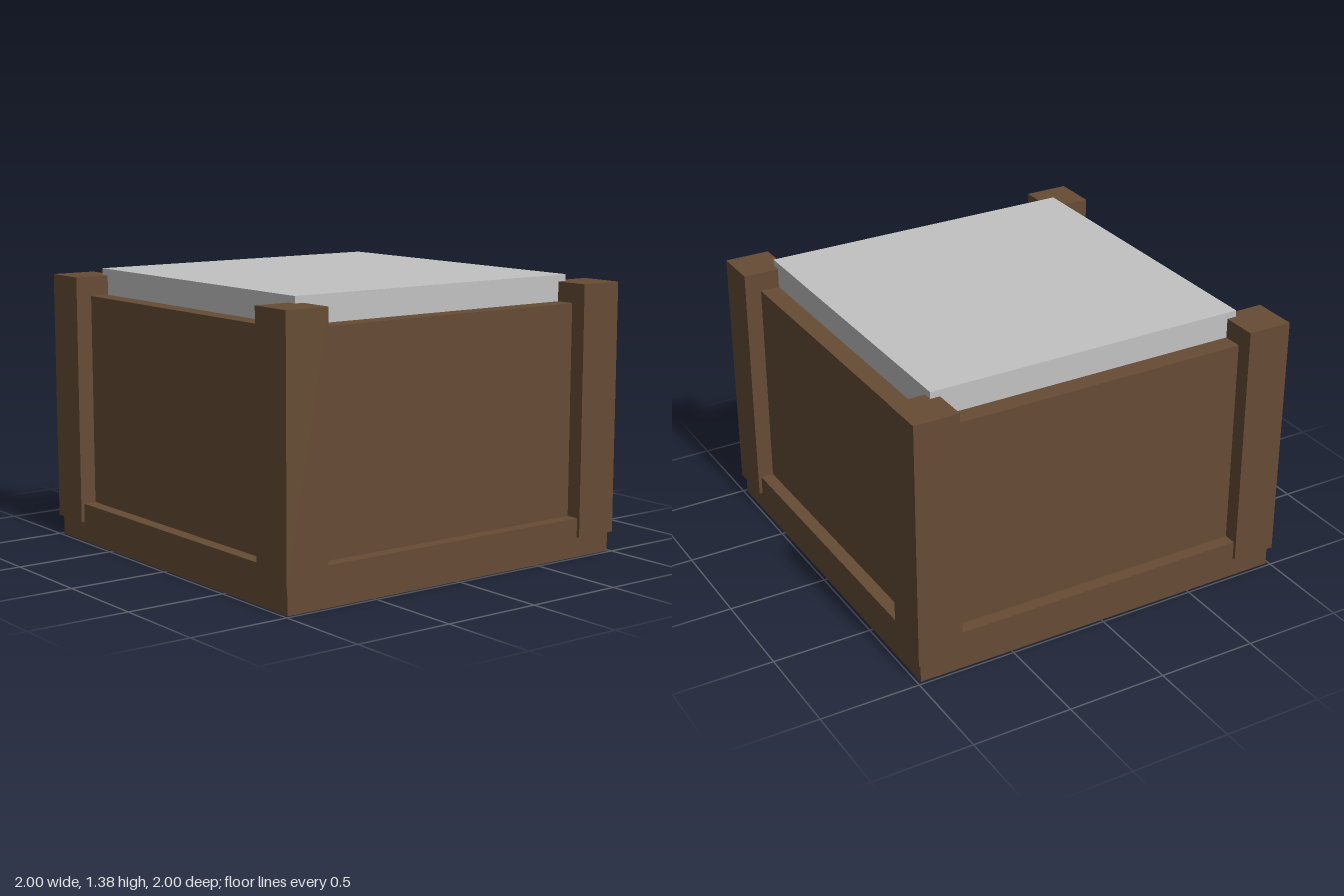
import * as THREE from 'three';

export function createModel() {
  const model = new THREE.Group();
  model.name = 'planterBox';

  const wood = new THREE.MeshStandardMaterial({ color: 0x664c35 });
  wood.name = 'brown wood';
  const stone = new THREE.MeshStandardMaterial({ color: 0xc2c2c2 });
  stone.name = 'light grey';

  // Square block of the given width, spanning y0 to y1
  function block(name, width, y0, y1, material, x = 0, z = 0) {
    const mesh = new THREE.Mesh(new THREE.BoxGeometry(width, y1 - y0, width), material);
    mesh.name = name;
    mesh.position.set(x, (y0 + y1) / 2, z);
    model.add(mesh);
  }

  // Base plinth, recessed body and the raised slab on top
  block('base', 1.966, 0, 0.195, wood);
  block('body', 1.835, 0.195, 1.25, wood);
  block('topSlab', 1.64, 1.25, 1.38, stone);

  // Four corner posts, standing proud of the base and clear of the ground
  for (const [sx, side] of [[1, 'Left'], [-1, 'Right']]) {
    for (const [sz, end] of [[1, 'front'], [-1, 'back']]) {
      block(`${end}${side}Post`, 0.228, 0.1, 1.347, wood, sx * 0.886, sz * 0.886);
    }
  }

  return model;
}
